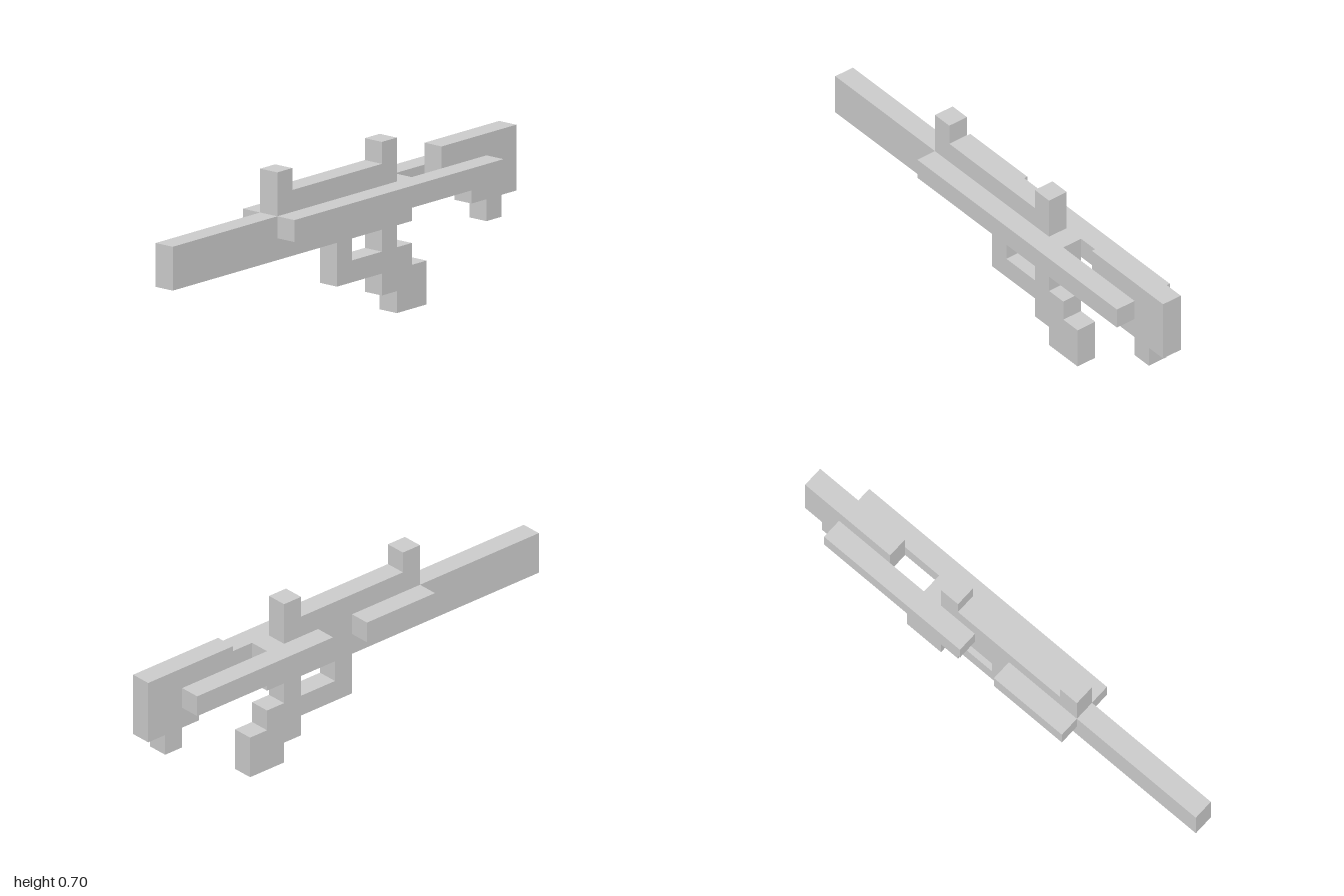
import * as THREE from 'three';

const U = 2 / 23; // one grid cell: the model is 23 long, 8 high, 3 wide

export function createModel() {
  const group = new THREE.Group();
  const material = new THREE.MeshStandardMaterial({ color: 0xcccccc, flatShading: true });

  // Points are [cells back from the front end, cells up]
  const points = (cells) => cells.map(([i, j]) => new THREE.Vector2(i * U - 1, j * U));

  // Side outline, one cell thick, placed in the given column (-1, 0 or 1)
  function slab(name, outline, column = 0, hole = null) {
    const shape = new THREE.Shape(points(outline));
    if (hole) shape.holes.push(new THREE.Path(points(hole)));
    const geometry = new THREE.ExtrudeGeometry(shape, { depth: U, bevelEnabled: false });
    geometry.translate(0, 0, (column - 0.5) * U);
    geometry.rotateY(Math.PI / 2);
    const mesh = new THREE.Mesh(geometry, material);
    mesh.name = name;
    group.add(mesh);
  }

  const bar = (from, to, low, high) => [[from, low], [to, low], [to, high], [from, high]];

  // Barrel, sights, trigger guard and stepped grip in one outline
  slab('body', [
    [0, 4], [11, 4], [11, 2], [14, 2], [14, 1], [15, 1], [15, 0], [17, 0],
    [17, 2], [16, 2], [16, 3], [15, 3], [15, 4], [16, 4], [16, 6], [15, 6],
    [15, 8], [14, 8], [14, 7], [8, 7], [8, 8], [7, 8], [7, 6], [0, 6],
  ], 0, bar(12, 14, 3, 4));

  // Stock with its small foot, joined to the body by the side rails
  slab('stock', [
    [18, 5], [20, 5], [20, 4], [21, 4], [21, 3], [22, 3], [22, 4],
    [23, 4], [23, 7], [18, 7],
  ]);

  // Side rails: whole on the left, with a gap on the right
  slab('leftRail', bar(7, 21, 5, 6), 1);
  slab('rightFrontRail', bar(7, 11, 5, 6), -1);
  slab('rightRearRail', bar(13, 21, 5, 6), -1);

  return group;
}
